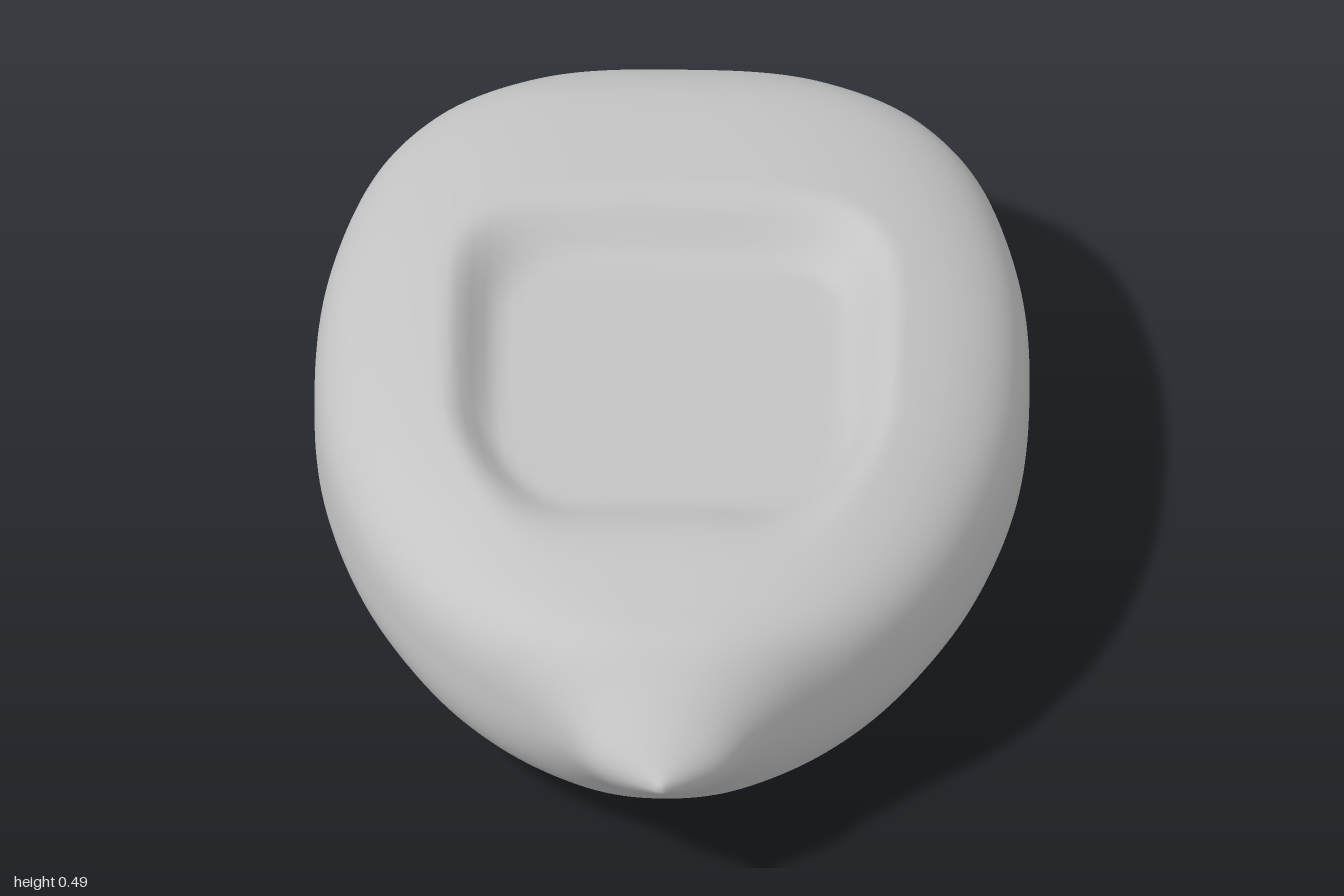
import * as THREE from 'three';

// Stations from back to front: z, half width, top height, bottom height
const STATIONS = [
  [-1, 0, 0.26, 0.26], [-0.985, 0.15, 0.335, 0.185], [-0.95, 0.28, 0.39, 0.13],
  [-0.9, 0.37, 0.43, 0.085], [-0.8, 0.48, 0.47, 0.04], [-0.65, 0.565, 0.487, 0.02],
  [-0.4, 0.625, 0.498, 0.005], [-0.15, 0.64, 0.5, 0.002], [0.1, 0.622, 0.498, 0.01],
  [0.35, 0.557, 0.488, 0.025], [0.55, 0.46, 0.464, 0.034], [0.68, 0.36, 0.45, 0.045],
  [0.77, 0.26, 0.435, 0.075], [0.85, 0.175, 0.385, 0.14], [0.93, 0.105, 0.325, 0.2],
  [1, 0, 0.27, 0.26],
];
const RINGS = 150, SIDES = 144, MID = 0.262;

const smooth = THREE.MathUtils.smoothstep;
const power = (v, e) => Math.sign(v) * Math.abs(v) ** e;

// Strength of the seat hollow: crisp at the back and sides, soft at the front
function hollow(x, z) {
  const halfWidth = 0.36 - 0.08 * smooth(z, 0.1, 0.6);
  const u = Math.abs(x) / halfWidth;
  const v = z < 0 ? -z / 0.42 : z / 0.52;
  const r = (u ** 5 + v ** 5) ** 0.2;
  const front = smooth(z, 0.1, 0.5) * Math.min(1, (v / (u + v + 1e-6)) * 1.4);
  return 1 - smooth(r, 0.86 - 0.25 * front, 1.13);
}

function bodyGeometry() {
  const upper = new THREE.CatmullRomCurve3(
    STATIONS.map(([z, w, t]) => new THREE.Vector3(w, t, z)), false, 'catmullrom', 0.5);
  const lower = new THREE.CatmullRomCurve3(
    STATIONS.map(([z, w, , b]) => new THREE.Vector3(w, b, z)), false, 'catmullrom', 0.5);
  const positions = [], index = [];

  // Rounded cross-sections, flatter on top than below
  for (let i = 1; i < RINGS; i++) {
    const top = upper.getPoint(i / RINGS), bottom = lower.getPoint(i / RINGS);
    const nose = smooth(top.z, 0.6, 0.95);
    for (let j = 0; j < SIDES; j++) {
      const a = (j / SIDES) * Math.PI * 2;
      const c = Math.cos(a), s = Math.sin(a);
      const n = THREE.MathUtils.lerp(s > 0 ? 3 : 2.5, 2, nose);
      const x = top.x * power(c, 2 / n);
      const height = s > 0 ? top.y - MID : MID - bottom.y;
      let y = MID + height * power(s, 2 / n);
      if (s > 0) {
        const floor = 0.405 + 0.03 * smooth(top.z, 0, 0.6);
        y -= Math.max(0, y - floor) * hollow(x, top.z);
      }
      positions.push(x, y, top.z);
    }
  }

  // Skin between the sections
  const id = (i, j) => i * SIDES + (j % SIDES);
  const back = (RINGS - 1) * SIDES, front = back + 1;
  positions.push(0, 0.26, -1, 0, 0.265, 1);
  for (let j = 0; j < SIDES; j++) {
    index.push(back, id(0, j + 1), id(0, j));
    for (let i = 0; i < RINGS - 2; i++) {
      index.push(id(i, j), id(i, j + 1), id(i + 1, j));
      index.push(id(i + 1, j), id(i, j + 1), id(i + 1, j + 1));
    }
    index.push(front, id(RINGS - 2, j), id(RINGS - 2, j + 1));
  }

  const geometry = new THREE.BufferGeometry();
  geometry.setAttribute('position', new THREE.Float32BufferAttribute(positions, 3));
  geometry.setIndex(index);
  geometry.computeVertexNormals();
  return geometry;
}

export function createModel() {
  const group = new THREE.Group();
  const grey = new THREE.MeshStandardMaterial({ color: 0xc4c4c4 });
  grey.name = 'lightGrey';
  const body = new THREE.Mesh(bodyGeometry(), grey);
  body.name = 'hollowedBody';
  group.add(body);
  return group;
}
